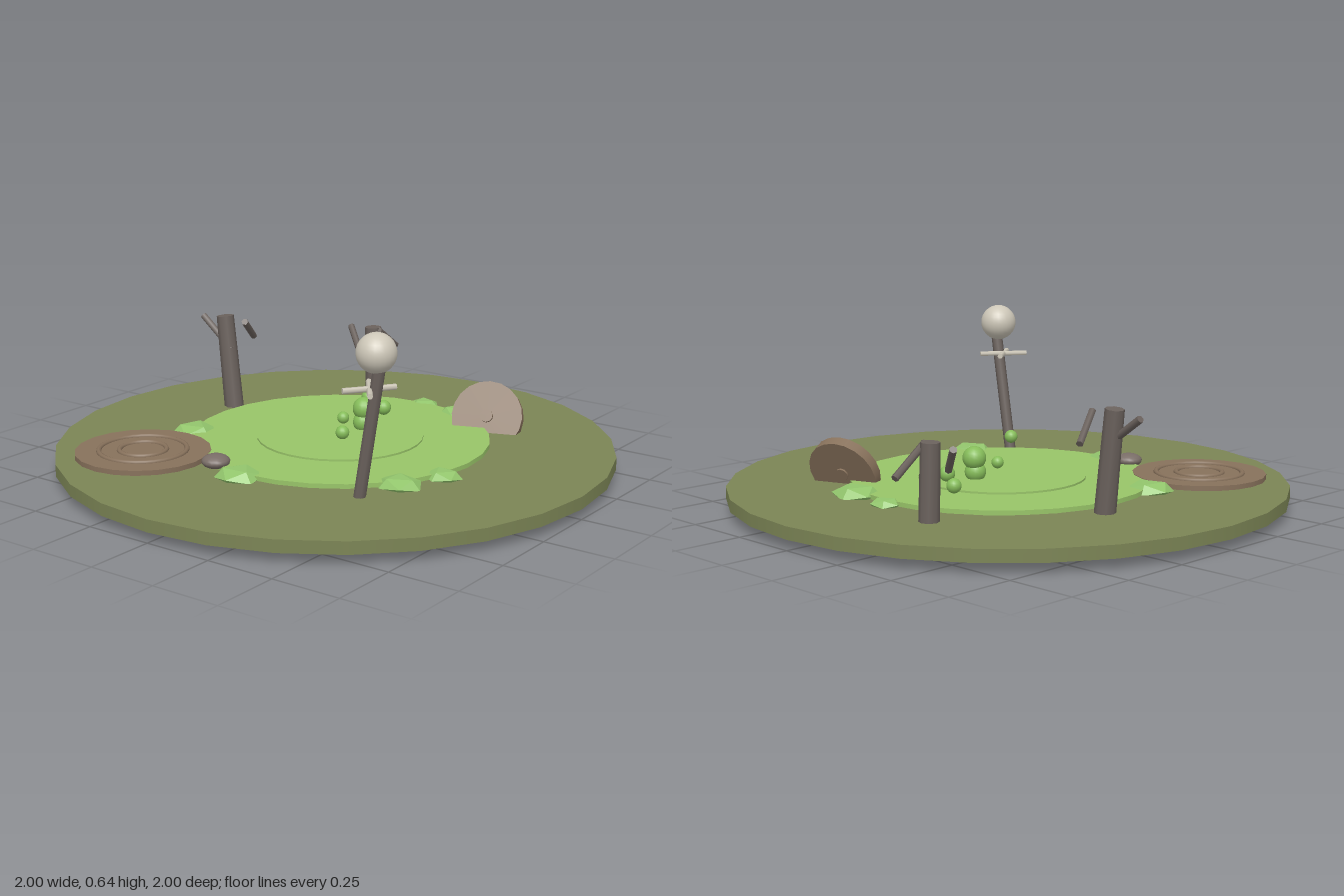
import * as THREE from 'three';

const mat = (name, color, flat = false) => {
  const m = new THREE.MeshStandardMaterial({ color, flatShading: flat });
  m.name = name;
  return m;
};

export function createModel() {
  const group = new THREE.Group();
  const ground = mat('mossGround', 0x7b8455);
  const slime = mat('slimeGreen', 0x98c468);
  const clump = mat('clumpGreen', 0x92c56c, true);
  const bubbleGreen = mat('bubbleGreen', 0x86bd5a);
  const wood = mat('agedWood', 0x87715b);
  const bark = mat('deadBark', 0x6b625d);
  const stone = mat('greyStone', 0x796d67);
  const bone = mat('bone', 0xcdc7b8);

  const add = (name, geo, material, x = 0, y = 0, z = 0, parent = group) => {
    const mesh = new THREE.Mesh(geo, material);
    mesh.name = name;
    mesh.position.set(x, y, z);
    parent.add(mesh);
    return mesh;
  };
  const disc = (r, h, n) => new THREE.CylinderGeometry(r, r, h, n);

  // Round rod between two points, with separate end radii
  const rod = (name, a, b, r0, r1, material, sides = 8) => {
    const p = new THREE.Vector3(...a), q = new THREE.Vector3(...b);
    const dir = q.clone().sub(p);
    const mid = p.clone().add(q).multiplyScalar(0.5);
    const mesh = add(name, new THREE.CylinderGeometry(r1, r0, dir.length(), sides), material, mid.x, mid.y, mid.z);
    mesh.quaternion.setFromUnitVectors(new THREE.Vector3(0, 1, 0), dir.normalize());
    return mesh;
  };

  // Ground and slime pool
  add('ground', disc(1, 0.044, 28), ground, 0, 0.057, 0);
  add('pool', disc(0.54, 0.03, 28), slime, 0, 0.08, -0.03);
  add('poolCentre', disc(0.3, 0.012, 32), slime, 0, 0.096, -0.03);

  // Slime clumps round the rim: x, z, half width, half depth, turn
  [
    [-0.485, 0.21, 0.09, 0.085, 0.3], [-0.03, 0.51, 0.09, 0.082, 0.1],
    [0.46, 0.265, 0.085, 0.075, 0.5], [0.53, 0.105, 0.07, 0.062, 0.9],
    [0.185, -0.55, 0.095, 0.085, 0.2], [0, -0.583, 0.06, 0.052, 0.6],
  ].forEach(([x, z, w, d, turn]) => {
    const geo = new THREE.IcosahedronGeometry(1, 0).rotateX(0.35).rotateY(turn);
    geo.scale(w, w * 0.38, d);
    add('slimeClump', geo, clump, x, 0.083, z);
  });

  // Bubbles: x, y, z, radius
  [
    [-0.13, 0.136, -0.39, 0.026], [0.01, 0.142, -0.29, 0.028],
    [0.024, 0.175, -0.145, 0.042], [0.024, 0.125, -0.14, 0.038],
    [-0.012, 0.153, -0.065, 0.022], [0.163, 0.19, 0.18, 0.024],
  ].forEach(([x, y, z, r]) => add('bubble', new THREE.SphereGeometry(r, 16, 12), bubbleGreen, x, y, z));

  // Flat wooden lid with raised rings
  add('lid', disc(0.24, 0.025, 20), wood, -0.46, 0.084, 0.515);
  [0.155, 0.083].forEach((r) => {
    const ring = add('lidRing', new THREE.TorusGeometry(r, 0.009, 8, 32), wood, -0.46, 0.097, 0.515);
    ring.rotation.x = Math.PI / 2;
  });

  // Half-sunk round shield leaning back
  const shield = new THREE.Group();
  shield.name = 'shield';
  shield.position.set(0.36, 0.126, -0.457);
  shield.rotation.set(Math.PI / 2 - 0.45, 0.35, 0, 'YXZ');
  add('shieldBoard', disc(0.131, 0.04, 20), wood, 0, 0, 0, shield);
  add('shieldBoss', disc(0.024, 0.06, 10), wood, 0, 0.003, 0, shield);
  group.add(shield);

  // Dead trees with snapped branches
  rod('treeTrunk', [-0.592, 0.07, -0.147], [-0.633, 0.43, -0.15], 0.037, 0.033, bark);
  rod('treeTrunk', [-0.274, 0.07, -0.637], [-0.283, 0.34, -0.637], 0.035, 0.033, bark);
  [
    [[-0.75, 0.412, -0.16], [-0.595, 0.305, -0.14]],
    [[-0.545, 0.415, -0.16], [-0.602, 0.328, -0.283]],
    [[-0.39, 0.33, -0.638], [-0.287, 0.238, -0.563]],
    [[-0.25, 0.333, -0.63], [-0.27, 0.24, -0.778]],
  ].forEach(([a, b]) => rod('branch', a, b, 0.013, 0.013, bark, 6));

  // Leaning staff with a pale head and crossed bones
  rod('staff', [0.413, 0.07, 0.43], [0.492, 0.54, 0.43], 0.021, 0.021, bark);
  add('staffHead', new THREE.SphereGeometry(0.067, 24, 16), bone, 0.474, 0.571, 0.425);
  [-1, 1].forEach((s) =>
    rod('crossBone', [0.397, 0.45, 0.43 - s * 0.073], [0.505, 0.45, 0.43 + s * 0.073], 0.01, 0.01, bone, 6));

  // Flattened stone at the pool edge
  add('stone', new THREE.SphereGeometry(0.05, 16, 10).scale(1, 0.5, 1), stone, -0.155, 0.104, 0.48);

  return group;
}
